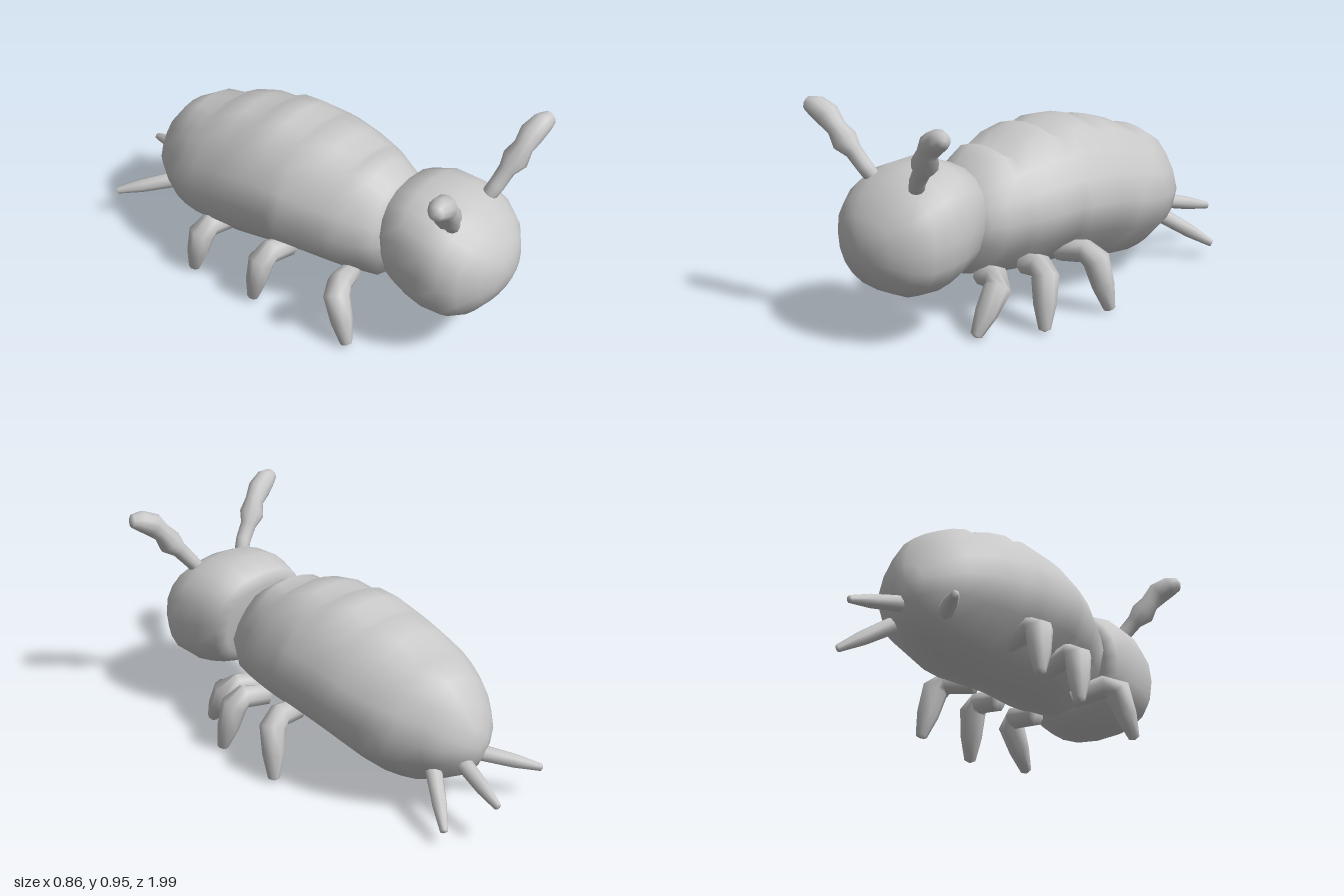
import * as THREE from 'three';

const V = (x, y, z) => new THREE.Vector3(x, y, z);

// Smooth closed skin over a row of equal-length rings
function loft(rings, startTip, endTip) {
  const n = rings[0].length, pos = [], idx = [];
  rings.forEach(r => r.forEach(p => pos.push(p.x, p.y, p.z)));
  const a = rings.length * n, last = (rings.length - 1) * n;
  pos.push(...startTip.toArray(), ...endTip.toArray());
  for (let k = 0; k < n; k++) {
    const m = (k + 1) % n;
    for (let i = 0; i < rings.length - 1; i++) {
      const p = i * n, q = p + n;
      idx.push(p + k, p + m, q + k, p + m, q + m, q + k);
    }
    idx.push(a, m, k, a + 1, last + k, last + m);
  }
  const g = new THREE.BufferGeometry();
  g.setAttribute('position', new THREE.Float32BufferAttribute(pos, 3));
  g.setIndex(idx);
  g.computeVertexNormals();
  return g;
}

// Round limb through points with a radius at each one
function limb(points, radii, ref, sides = 8) {
  const last = points.length - 1;
  const rings = points.map((p, i) => {
    const t = points[Math.min(i + 1, last)].clone().sub(points[Math.max(i - 1, 0)]).normalize();
    const u = ref.clone().cross(t).normalize();
    const w = t.clone().cross(u);
    return Array.from({ length: sides }, (_, k) => {
      const s = k / sides * Math.PI * 2;
      return p.clone().addScaledVector(u, Math.cos(s) * radii[i]).addScaledVector(w, Math.sin(s) * radii[i]);
    });
  });
  const end = points[last].clone().sub(points[last - 1]).normalize();
  return loft(rings, points[0], points[last].clone().addScaledVector(end, radii[last] * 0.4));
}

// Half outline of the body section, top to bottom: share of width, share of height
const HALF = [[0, 1], [0.24, 0.985], [0.46, 0.95], [0.7, 0.83], [0.89, 0.68], [1, 0.5],
  [0.88, 0.29], [0.46, 0.06], [0, 0]];

function bodyGeometry() {
  // z, top, bottom, half width, depth of the back groove
  const sections = [
    [-0.765, 0.40, 0.25, 0.07, 0], [-0.72, 0.50, 0.18, 0.15, 0], [-0.65, 0.59, 0.14, 0.215, 0],
    [-0.55, 0.65, 0.105, 0.28, 0], [-0.48, 0.675, 0.095, 0.31, 0.035], [-0.40, 0.70, 0.09, 0.33, 0],
    [-0.28, 0.74, 0.10, 0.343, 0], [-0.22, 0.755, 0.112, 0.348, 0.035], [-0.15, 0.77, 0.125, 0.35, 0],
    [-0.05, 0.775, 0.145, 0.352, 0], [0.03, 0.775, 0.158, 0.35, 0.04], [0.08, 0.77, 0.165, 0.345, 0],
    [0.20, 0.75, 0.17, 0.325, 0], [0.28, 0.735, 0.17, 0.30, 0.045], [0.33, 0.72, 0.175, 0.285, 0],
    [0.42, 0.69, 0.19, 0.25, 0], [0.48, 0.64, 0.24, 0.21, 0], [0.52, 0.58, 0.30, 0.15, 0]];
  const rings = sections.map(([z, top, bottom, w, groove]) => {
    const lean = z > 0.35 ? 0.12 : 0;
    const point = ([fx, fy], side) => {
      const sunk = fy > 0.97 ? groove : fy > 0.94 ? groove * 0.6 : 0;
      const y = bottom + fy * (top - bottom) - sunk;
      return V(side * fx * w, y, z + lean * (0.43 - y));
    };
    const left = HALF.map(h => point(h, -1));
    const right = HALF.slice(1, -1).reverse().map(h => point(h, 1));
    return [...left, ...right];
  });
  return loft(rings, V(0, 0.32, -0.78), V(0, 0.44, 0.525));
}

function headGeometry() {
  // z, top, bottom, half width, lean of the section
  const sections = [
    [0.53, 0.63, 0.29, 0.20, 0.2], [0.555, 0.685, 0.245, 0.25, 0.2], [0.65, 0.725, 0.21, 0.275, 0.12],
    [0.75, 0.715, 0.20, 0.29, 0], [0.84, 0.675, 0.205, 0.28, 0], [0.91, 0.62, 0.24, 0.235, 0],
    [0.965, 0.55, 0.305, 0.155, 0], [0.99, 0.49, 0.36, 0.08, 0]];
  const bend = v => Math.sign(v) * Math.abs(v) ** 0.85;
  const rings = sections.map(([z, top, bottom, w, lean]) => {
    const mid = (top + bottom) / 2, h = (top - bottom) / 2;
    return Array.from({ length: 20 }, (_, k) => {
      const s = k / 20 * Math.PI * 2, y = mid + h * bend(Math.sin(s));
      return V(w * bend(Math.cos(s)), y, z + lean * (mid - y));
    });
  });
  return loft(rings, V(0, 0.46, 0.53), V(0, 0.425, 1));
}

export function createModel() {
  const model = new THREE.Group();
  model.name = 'insect';
  const grey = new THREE.MeshStandardMaterial({ color: 0xc8c8c8 });
  grey.name = 'light grey';
  const add = (name, geometry) => {
    const mesh = new THREE.Mesh(geometry, grey);
    mesh.name = name;
    model.add(mesh);
  };
  add('body', bodyGeometry());
  add('head', headGeometry());

  // Antennae: thin stalk, bead and club
  for (const s of [1, -1]) {
    const path = [[0.12, 0.64, 0.80], [0.16, 0.70, 0.825], [0.205, 0.755, 0.84], [0.24, 0.795, 0.855],
      [0.27, 0.845, 0.87], [0.31, 0.89, 0.88], [0.365, 0.92, 0.895], [0.405, 0.928, 0.905]];
    add(s > 0 ? 'leftAntenna' : 'rightAntenna', limb(path.map(([x, y, z]) => V(s * x, y, z)),
      [0.032, 0.034, 0.036, 0.056, 0.042, 0.052, 0.046, 0.03], V(0, 0, 1), 10));
  }

  // Legs: hip, knee, foot
  const legs = {
    leftFrontLeg: [V(0.09, 0.20, 0.42), V(0.255, 0.235, 0.47), V(0.24, 0.025, 0.60)],
    leftMiddleLeg: [V(0.2, 0.24, 0.28), V(0.345, 0.27, 0.31), V(0.39, 0.025, 0.36)],
    leftBackLeg: [V(0.2, 0.25, 0.08), V(0.37, 0.28, 0.05), V(0.415, 0.025, 0)],
    rightFrontLeg: [V(-0.14, 0.2, 0.33), V(-0.32, 0.255, 0.38), V(-0.36, 0.025, 0.47)],
    rightMiddleLeg: [V(-0.18, 0.22, 0.03), V(-0.335, 0.26, 0.01), V(-0.36, 0.025, -0.03)],
    rightBackLeg: [V(-0.18, 0.21, -0.3), V(-0.335, 0.25, -0.32), V(-0.36, 0.025, -0.36)]
  };
  for (const [name, [hip, knee, foot]] of Object.entries(legs)) {
    const path = [hip, hip.clone().lerp(knee, 0.75), knee.clone().lerp(foot, 0.15),
      knee.clone().lerp(foot, 0.6), foot];
    add(name, limb(path, [0.045, 0.052, 0.058, 0.048, 0.025], V(0, 0, 1)));
  }

  // Tail spikes: root and tip
  const spikes = {
    leftTailSpike: [V(0.12, 0.23, -0.64), V(0.265, 0.075, -0.84)],
    middleTailSpike: [V(0.04, 0.26, -0.72), V(0.115, 0.19, -0.985)],
    rightTailSpike: [V(-0.11, 0.22, -0.66), V(-0.285, 0.16, -0.875)]
  };
  for (const [name, [root, tip]] of Object.entries(spikes))
    add(name, limb([root, root.clone().lerp(tip, 0.6), tip], [0.036, 0.03, 0.016], V(0, 1, 0)));

  return model;
}
